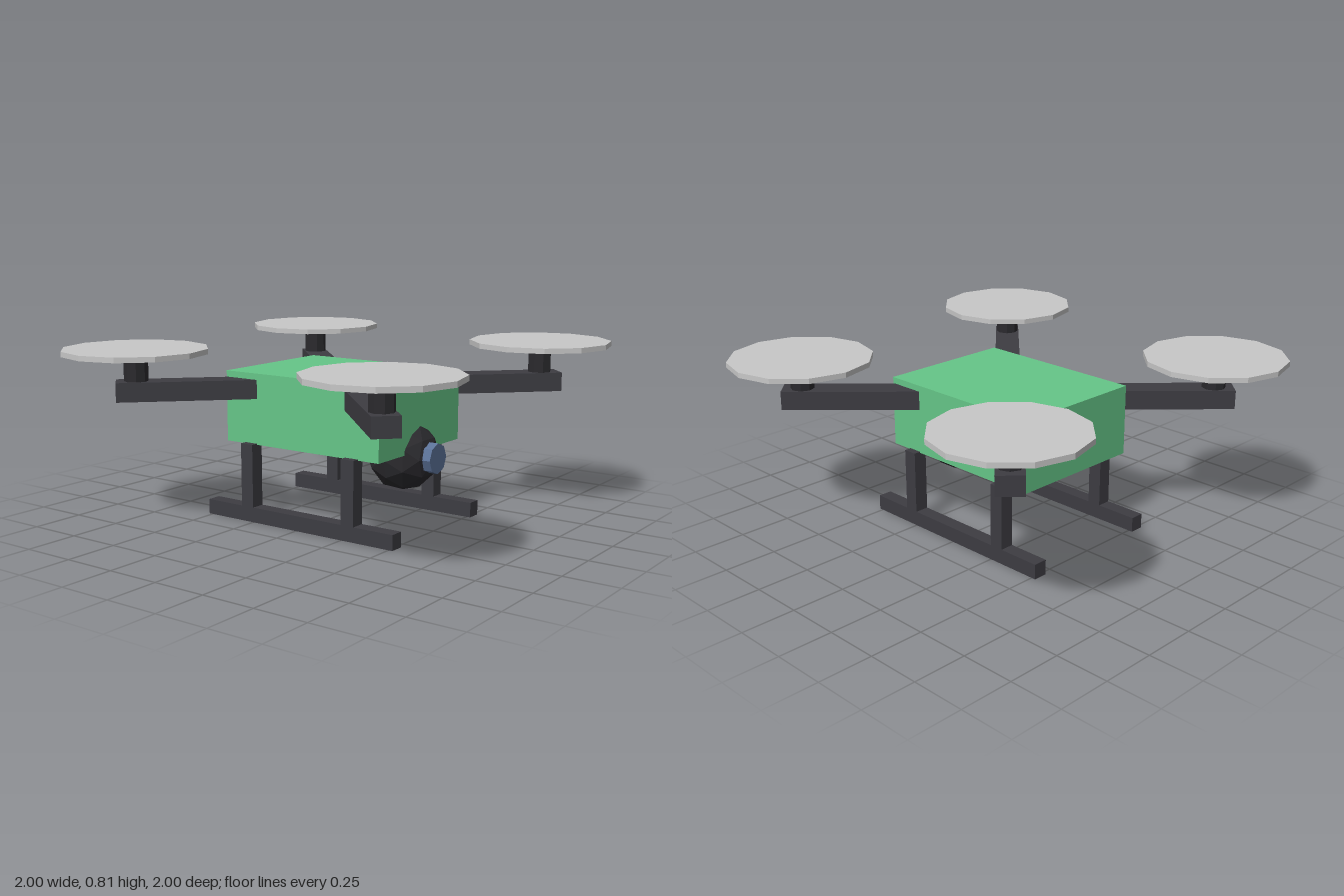
import * as THREE from 'three';

const mat = (name, color) => {
  const m = new THREE.MeshStandardMaterial({ color, flatShading: true });
  m.name = name;
  return m;
};

export function createModel() {
  const green = mat('bodyGreen', 0x66c688);
  const frame = mat('frameGrey', 0x3d3c42);
  const dark = mat('darkGrey', 0x2b2a2e);
  const glass = mat('lensBlue', 0x5c7298);
  const light = mat('rotorGrey', 0xc8c8c8);

  const model = new THREE.Group();
  model.name = 'quadcopter';
  const add = (name, geometry, material, x, y, z, parent = model) => {
    const mesh = new THREE.Mesh(geometry, material);
    mesh.name = name;
    mesh.position.set(x, y, z);
    parent.add(mesh);
    return mesh;
  };
  const box = (w, h, d) => new THREE.BoxGeometry(w, h, d);

  // Main body
  add('body', box(0.85, 0.33, 0.66), green, 0, 0.525, 0);

  // Four diagonal arms, each with a motor and a rotor disc
  for (const sx of [-1, 1]) {
    for (const sz of [-1, 1]) {
      const unit = new THREE.Group();
      unit.name = (sz > 0 ? 'front' : 'back') + (sx > 0 ? 'Left' : 'Right') + 'RotorArm';
      model.add(unit);
      const mid = 0.472;
      const arm = add('arm', box(0.738, 0.088, 0.12), frame, sx * mid, 0.617, sz * mid, unit);
      arm.rotation.y = Math.atan2(-sz, sx);
      add('motor', new THREE.CylinderGeometry(0.055, 0.055, 0.13, 8), dark,
        sx * 0.668, 0.722, sz * 0.668, unit);
      add('rotor', new THREE.CylinderGeometry(0.332, 0.332, 0.024, 12), light,
        sx * 0.668, 0.798, sz * 0.668, unit);
    }
  }

  // Landing skids on two posts each
  for (const sz of [-1, 1]) {
    const gear = new THREE.Group();
    gear.name = sz > 0 ? 'frontLandingGear' : 'backLandingGear';
    model.add(gear);
    add('skid', box(1.04, 0.07, 0.067), frame, 0, 0.035, sz * 0.33, gear);
    for (const sx of [-1, 1]) {
      add('post', box(0.067, 0.3, 0.067), frame, sx * 0.283, 0.215, sz * 0.33, gear);
    }
  }

  // Camera ball with its lens
  add('cameraBall', new THREE.IcosahedronGeometry(0.165, 1), dark, 0.335, 0.335, 0);
  const lens = add('cameraLens', new THREE.CylinderGeometry(0.07, 0.07, 0.07, 8), glass, 0.484, 0.335, 0);
  lens.rotation.z = -Math.PI / 2;

  return model;
}
